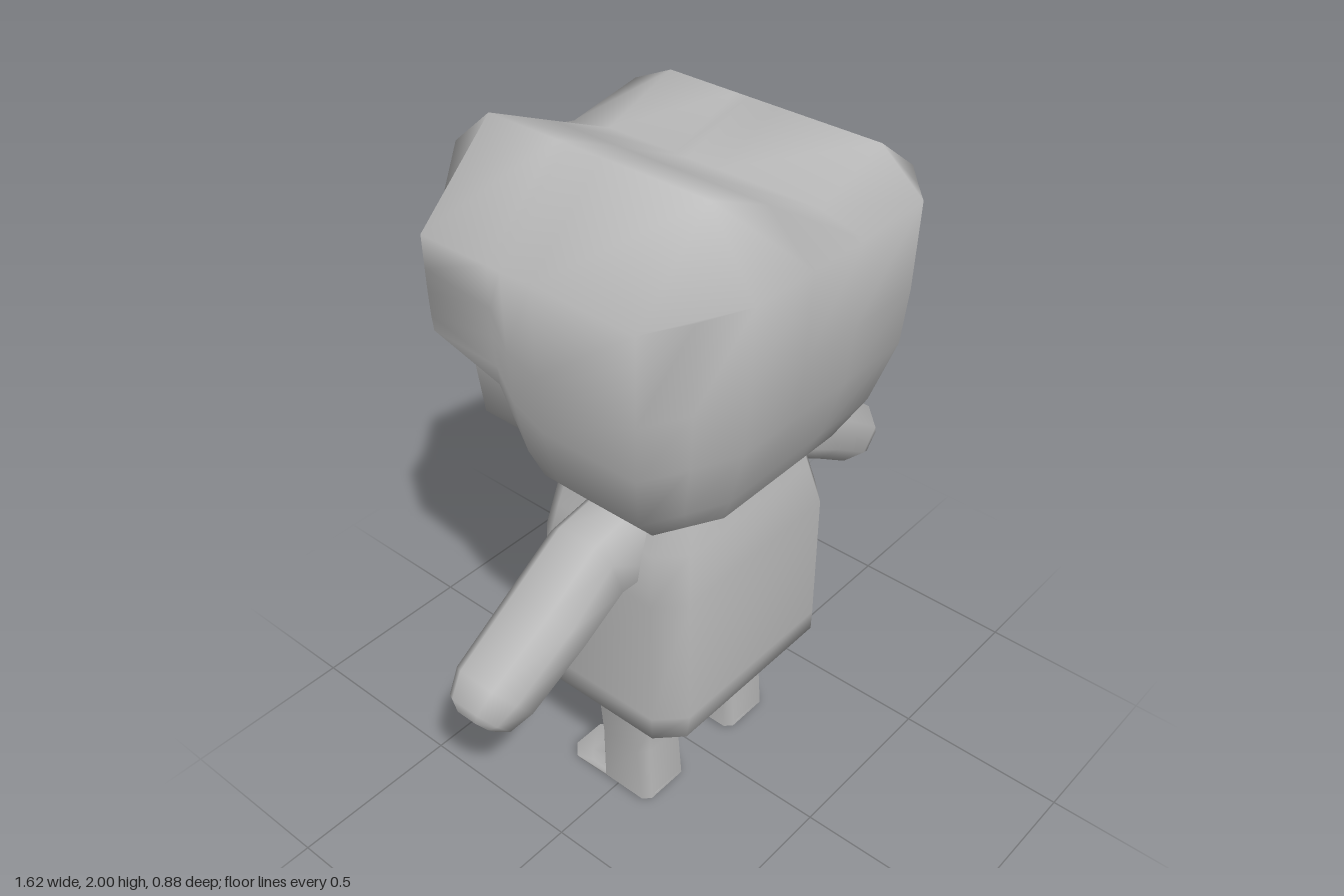
import * as THREE from 'three';

const grey = new THREE.MeshStandardMaterial({ color: 0xbcbcbc });
grey.name = 'plain grey';
const greyShell = new THREE.MeshStandardMaterial({ color: 0xbcbcbc, side: THREE.DoubleSide });
greyShell.name = 'plain grey shell';

const lerp = THREE.MathUtils.lerp;

// Eight-point rectangle with cut corners, as [x, z] pairs.
function cutRect(x0, x1, z0, z1, c) {
  return [[x0 + c, z1], [x1 - c, z1], [x1, z1 - c], [x1, z0 + c],
    [x1 - c, z0], [x0 + c, z0], [x0, z0 + c], [x0, z1 - c]];
}

function makeGeometry(points, index) {
  const geometry = new THREE.BufferGeometry();
  geometry.setAttribute('position', new THREE.Float32BufferAttribute(points.flat(), 3));
  geometry.setIndex(index);
  geometry.computeVertexNormals();
  return geometry;
}

// Skin over equal-sized rings, with flat caps; mirror flips it across x.
function loft(name, sourceRings, mirror = false) {
  const rings = mirror
    ? sourceRings.map(r => r.map(([x, y, z]) => [-x, y, z]).reverse())
    : sourceRings;
  const n = rings[0].length;
  const points = rings.flat();
  const index = [];
  for (let r = 0; r < rings.length - 1; r++) {
    for (let k = 0; k < n; k++) {
      const a = r * n + k, b = r * n + (k + 1) % n;
      index.push(a, b, b + n, a, b + n, a + n);
    }
  }
  [rings[0], rings[rings.length - 1]].forEach((ring, end) => {
    const base = points.length;
    points.push(...ring);
    for (let k = 1; k < n - 1; k++) {
      if (end) index.push(base, base + k, base + k + 1);
      else index.push(base, base + k + 1, base + k);
    }
  });
  const mesh = new THREE.Mesh(makeGeometry(points, index), grey);
  mesh.name = name;
  return mesh;
}

// Level ring at height y
const level = (y, x0, x1, z0, z1, c) => cutRect(x0, x1, z0, z1, c).map(([x, z]) => [x, y, z]);

// Piecewise-linear lookup in rows of [y, value, value]
function sample(rows, y, column) {
  for (let i = 0; i < rows.length - 1; i++) {
    const [a, b] = [rows[i], rows[i + 1]];
    if (y >= b[0]) return lerp(b[column], a[column], Math.min(1, (y - b[0]) / (a[0] - b[0])));
  }
  return rows[rows.length - 1][column];
}

function makeHair() {
  const xs = [-0.5, -0.27, -0.07, 0.12, 0.35, 0.495];
  const crown = [1.79, 2, 1.91, 1.825, 1.9, 1.79];
  const zs = [-0.44, -0.32, -0.11, -0.07, 0.02, 0.32, 0.445];
  const nx = xs.length, nz = zs.length;
  const points = [], index = [];
  const id = (i, j) => i * nz + j;

  // Crown with two peaks and a valley, sloping down at both ends
  for (let i = 0; i < nx; i++) {
    for (let j = 0; j < nz; j++) {
      let x = xs[i], z = zs[j];
      const endX = i === 0 || i === nx - 1, endZ = j === 0 || j === nz - 1;
      if (endX && endZ) {
        x = (x + xs[i === 0 ? 1 : nx - 2]) / 2;
        z = (z + zs[j === 0 ? 1 : nz - 2]) / 2;
      }
      const keep = j === 0 ? 0.5 : j === nz - 1 ? 0.05 : 1;
      points.push([x, 1.79 + (crown[i] - 1.79) * keep, z]);
      if (i < nx - 1 && j < nz - 1) {
        const a = id(i, j), b = id(i, j + 1), c = id(i + 1, j + 1), d = id(i + 1, j);
        index.push(a, b, c, a, c, d);
      }
    }
  }

  // Rim of the crown, with the height of the hairline under each rim point
  const sideRight = [1.47, 1.45, 1.4, 1.19, 1.12, 1.12, 1.12];
  const sideLeft = [1.56, 1.54, 1.48, 1.2, 1.12, 1.12, 1.12];
  const fringe = [1.56, 1.55, 1.63, 1.71, 1.5, 1.47];
  const rim = [];
  for (let i = 0; i < nx - 1; i++) rim.push([id(i, nz - 1), 1.12]);
  for (let j = nz - 1; j > 0; j--) rim.push([id(nx - 1, j), sideRight[j]]);
  for (let i = nx - 1; i > 0; i--) rim.push([id(i, 0), fringe[i]]);
  for (let j = 0; j < nz - 1; j++) rim.push([id(0, j), sideLeft[j]]);

  // Walls narrow towards the neck, then fold inwards
  const taper = [[1.79, 1, 1], [1.6, 1, 0.99], [1.4, 0.98, 0.95], [1.23, 0.89, 0.83], [1.12, 0.7, 0.7]];
  let previous = rim.map(r => r[0]);
  const addRow = place => {
    const row = rim.map(([top, edge]) => points.push(place(points[top], edge)) - 1);
    row.forEach((a, k) => {
      const m = (k + 1) % row.length;
      index.push(a, row[m], previous[m], a, previous[m], previous[k]);
    });
    previous = row;
  };
  const wall = t => (p, edge) => {
    const y = lerp(p[1], edge, t);
    return [p[0] * sample(taper, y, 1), y, p[2] * sample(taper, y, 2)];
  };
  [0.35, 0.58, 0.84, 1].forEach(t => addRow(wall(t)));
  // Separate copy of the hairline keeps its edge crisp
  previous = previous.map(v => points.push([...points[v]]) - 1);
  addRow((p, edge) => {
    const q = wall(1)(p, edge);
    return [q[0] * 0.8, Math.max(edge, 1.18), q[2] * 0.82];
  });

  const mesh = new THREE.Mesh(makeGeometry(points, index), greyShell);
  mesh.name = 'hair';
  return mesh;
}

export function createModel() {
  const model = new THREE.Group();
  model.name = 'figure';

  // Boxy torso with sloping shoulders
  model.add(loft('torso', [
    level(0.375, -0.27, 0.27, -0.17, 0.21, 0.05),
    level(0.4, -0.34, 0.34, -0.22, 0.27, 0.065),
    level(0.47, -0.34, 0.34, -0.22, 0.275, 0.07),
    level(0.87, -0.34, 0.34, -0.22, 0.275, 0.07),
    level(1.0, -0.305, 0.305, -0.2, 0.25, 0.065),
    level(1.12, -0.265, 0.265, -0.18, 0.23, 0.06),
  ]));

  // Rounded face block inside the hair
  model.add(loft('face', [
    level(1.17, -0.28, 0.28, -0.27, 0.25, 0.07),
    level(1.28, -0.4, 0.4, -0.39, 0.33, 0.12),
    level(1.45, -0.43, 0.43, -0.4, 0.37, 0.14),
    level(1.76, -0.42, 0.42, -0.39, 0.37, 0.14),
  ]));
  model.add(makeHair());

  // Arm sections: lower x, y, upper x, y, z range, corner cut
  const armSections = [
    [0.24, 0.87, 0.24, 1.11, -0.04, 0.15, 0.05],
    [0.37, 0.88, 0.43, 1.07, -0.05, 0.155, 0.055],
    [0.5, 0.8, 0.59, 0.96, -0.06, 0.155, 0.06],
    [0.66, 0.69, 0.77, 0.83, -0.07, 0.135, 0.06],
    [0.72, 0.66, 0.81, 0.77, -0.055, 0.11, 0.05],
    [0.75, 0.67, 0.805, 0.73, -0.03, 0.08, 0.03],
  ];
  const armRings = armSections.map(([x0, y0, x1, y1, z0, z1, c]) => {
    const width = Math.hypot(x1 - x0, y1 - y0);
    return cutRect(z0, z1, 0, width, c * 0.8)
      .map(([z, u]) => [lerp(x0, x1, u / width), lerp(y0, y1, u / width), z]);
  });

  const legRings = [
    level(0.015, 0.1, 0.27, -0.06, 0.12, 0.02),
    level(0.2, 0.1, 0.27, -0.065, 0.11, 0.025),
    level(0.3, 0.08, 0.272, -0.078, 0.115, 0.03),
    level(0.4, 0.05, 0.28, -0.09, 0.13, 0.035),
  ];

  // Thin foot whose sole dips towards the toe
  const footRings = [
    [0, 0.105, 0.265, -0.185, 0.118, 0.035], [0.012, 0.1, 0.27, -0.19, 0.12, 0.035],
    [0.022, 0.11, 0.26, -0.13, 0.115, 0.03], [0.05, 0.115, 0.255, -0.065, 0.11, 0.025],
  ].map(([y, ...box]) => level(y, ...box).map(p => [p[0], p[1] + (p[2] + 0.19) * 0.04, p[2]]));

  for (const [side, mirror] of [['left', false], ['right', true]]) {
    model.add(loft(side + 'Arm', armRings, mirror));
    model.add(loft(side + 'Leg', legRings, mirror));
    model.add(loft(side + 'Foot', footRings, mirror));
  }
  return model;
}
